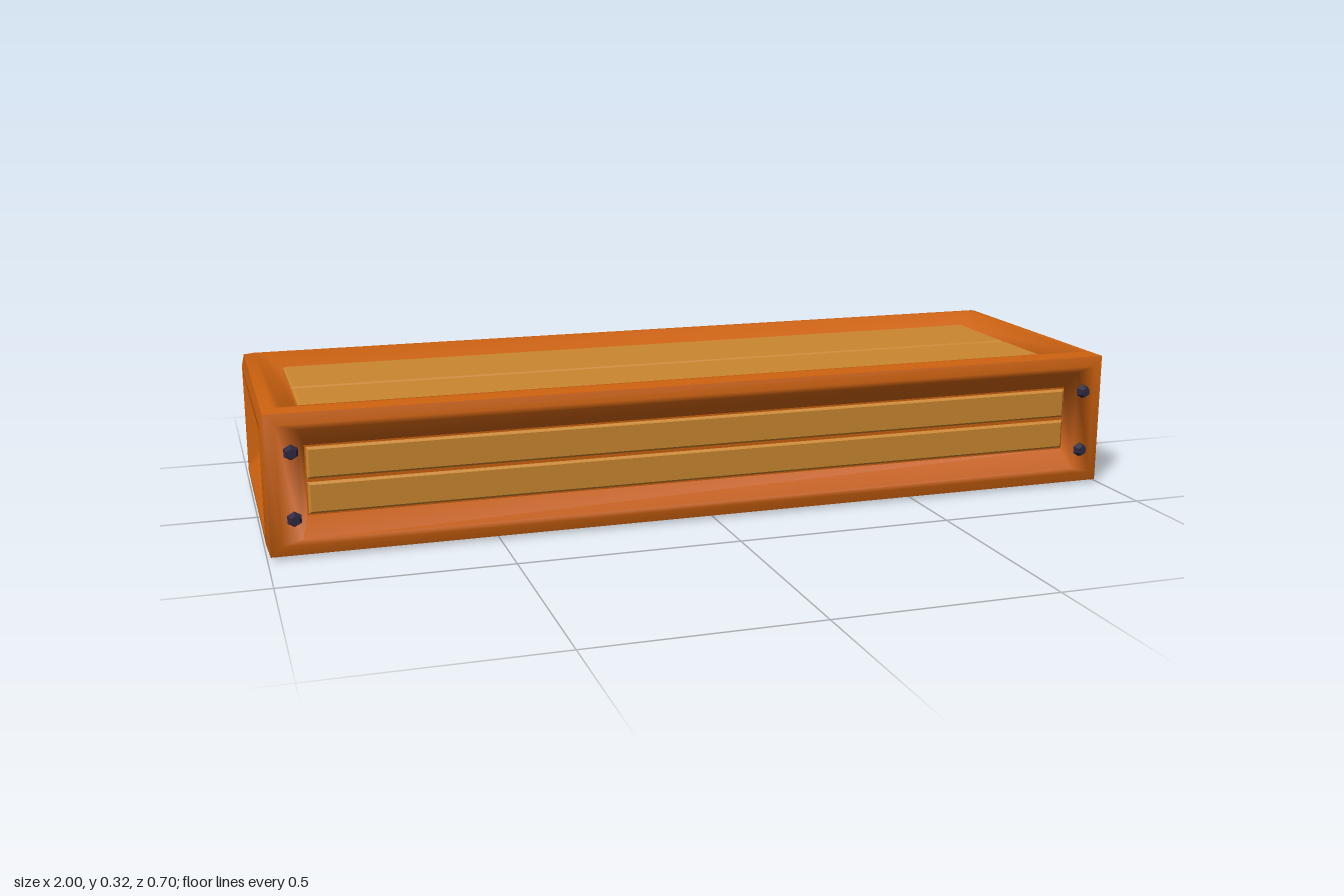
import * as THREE from 'three';
import { mergeVertices } from 'three/addons/utils/BufferGeometryUtils.js';

// Half sizes of the box and its bevels
const X = 1, Y = 0.1625, Z = 0.332;
const BEVEL = 0.03, MITRE = 0.007;

const mat = (name, color, extra = {}) => {
  const m = new THREE.MeshStandardMaterial({ color, ...extra });
  m.name = name;
  return m;
};

// Rectangle with cut corners, as eight points in counter-clockwise order
function ringPoints([a, b, w, k = 0]) {
  return [[a, -b + k], [a, b - k], [a - k, b], [-a + k, b], [-a, b - k], [-a, -b + k], [-a + k, -b], [a - k, -b]]
    .map(([u, v]) => [u, v, w]);
}

// Skin between successive rings [halfWidth, halfHeight, depth, cornerCut]; optionally closes the last
function loft(rings, close, smooth) {
  const pos = [], idx = [];
  rings.forEach(r => ringPoints(r).forEach(p => pos.push(...p)));
  for (let r = 0; r < rings.length - 1; r++) {
    for (let i = 0; i < 8; i++) {
      const a = r * 8 + i, b = r * 8 + (i + 1) % 8;
      idx.push(a, b, b + 8, a, b + 8, a + 8);
    }
  }
  const last = (rings.length - 1) * 8;
  if (close) for (let i = 1; i < 7; i++) idx.push(last, last + i, last + i + 1);
  let g = new THREE.BufferGeometry();
  g.setAttribute('position', new THREE.Float32BufferAttribute(pos, 3));
  g.setIndex(idx);
  g = smooth ? mergeVertices(g) : g.toNonIndexed();
  g.computeVertexNormals();
  return g;
}

export function createModel() {
  const root = new THREE.Group();
  root.name = 'woodenCrate';
  const frameMat = mat('orange frame', 0xcb610f);
  const plankMat = mat('light plank', 0xcb872f);
  const boltMat = mat('dark bolt', 0x2f2942, { flatShading: true });

  const add = (parent, name, geo, material) => {
    const m = new THREE.Mesh(geo, material);
    m.name = name;
    parent.add(m);
    return m;
  };

  // One framed side, built facing +z and then turned into place.
  // rim: insets where the flat ends, well: insets and depth of the recess
  function side(name, [a, b, c], rim, well, depth, rotation, cut = 0) {
    const g = new THREE.Group();
    g.name = name;
    g.position.y = Y;
    g.rotation.set(...rotation);
    const inner = [a - well[0], b - well[1], c - depth, cut];
    add(g, name + 'Frame', loft([
      [a - MITRE, b - MITRE, c - MITRE],
      [a - BEVEL, b - BEVEL, c],
      [a - rim[0], b - rim[1], c, cut],
      inner,
    ], false, true), frameMat);
    root.add(g);
    return { g, inner };
  }

  // Two bevelled planks lying in a recess, with a groove between them
  function planks({ g, inner: [a, b, w] }) {
    add(g, 'recessFloor', loft([[a, b, w]], true, false), frameMat);
    const h = b / 2 - 0.004, l = a - 0.003, e = 0.005;
    for (const s of [-1, 1]) {
      const p = add(g, 'plank', loft([[l, h, w], [l, h, w + 0.003], [l - e, h - e, w + 0.008]], true, false), plankMat);
      p.position.y = s * b / 2;
    }
  }

  // Front and back: two narrow planks and four bolts
  [['front', 0], ['back', Math.PI]].forEach(([name, turn]) => {
    const s = side(name, [X, Y, Z], [0.075, 0.042], [0.09, 0.085], 0.034, [0, turn, 0]);
    planks(s);
    for (const x of [-0.94, 0.94]) for (const y of [-0.073, 0.073]) {
      const bolt = add(s.g, 'bolt', new THREE.CylinderGeometry(0.011, 0.018, 0.018, 6), boltMat);
      bolt.rotation.x = Math.PI / 2;
      bolt.position.set(x, y, Z + 0.007);
    }
  });

  // Top: two wide planks
  planks(side('top', [X, Z, Y], [0.048, 0.042], [0.09, 0.087], 0.034, [-Math.PI / 2, 0, 0]));

  // Ends: a single recessed panel
  [['leftEnd', 1], ['rightEnd', -1]].forEach(([name, s]) => {
    const { g, inner } = side(name, [Z, Y, X], [0.042, 0.042], [0.086, 0.085], 0.028, [0, s * Math.PI / 2, 0], 0.012);
    add(g, name + 'Panel', loft([inner], true, false), plankMat);
  });

  // Underside: one broad, shallow panel
  const { g, inner } = side('underside', [X, Z, Y], [0.036, 0.036], [0.052, 0.052], 0.01, [Math.PI / 2, 0, 0]);
  add(g, 'undersidePanel', loft([inner], true, false), plankMat);

  return root;
}
